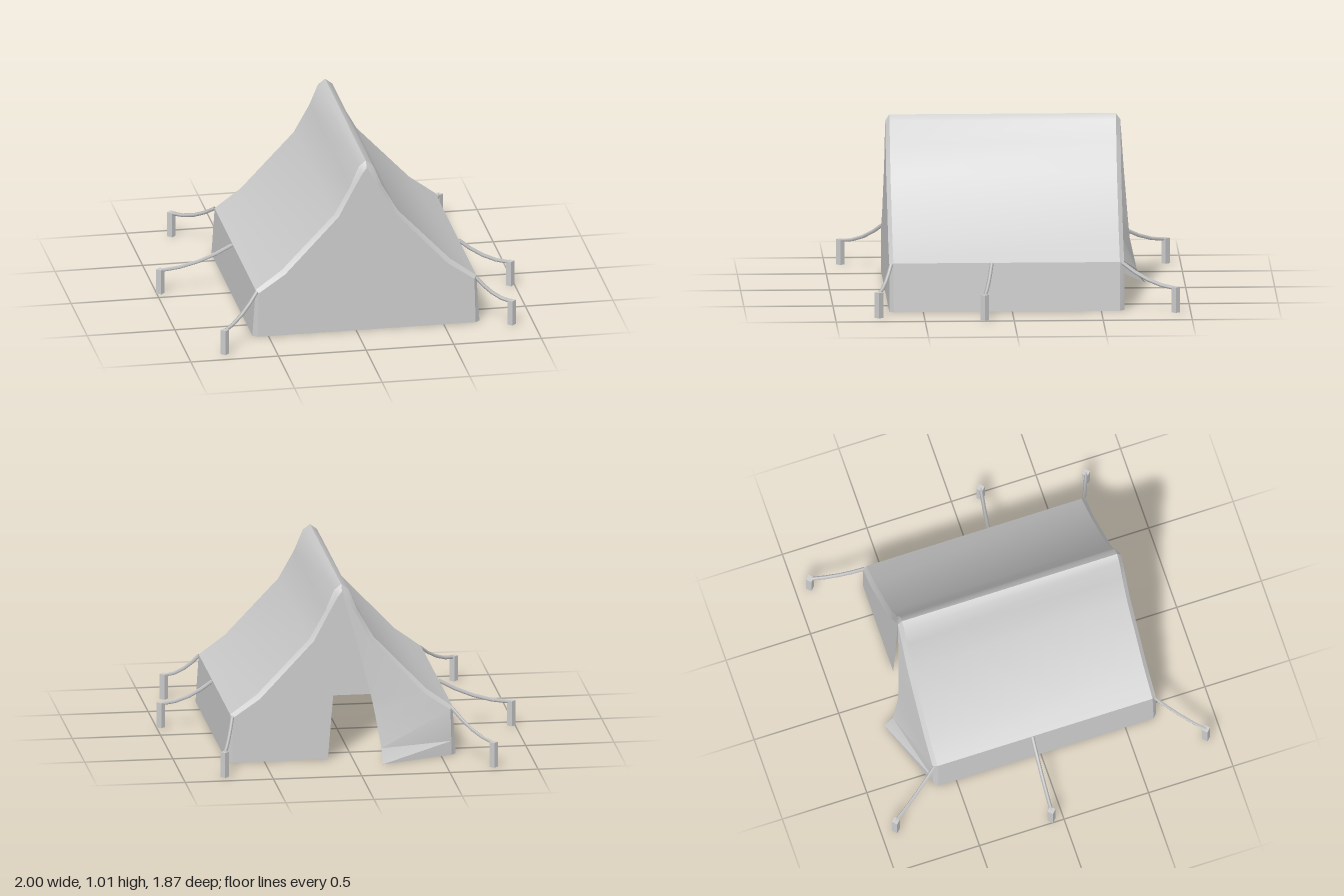
import * as THREE from 'three';
import { toCreasedNormals } from 'three/addons/utils/BufferGeometryUtils.js';

const material = new THREE.MeshStandardMaterial({ color: 0xcccccc, side: THREE.DoubleSide });
const CENTRE = 0.06;

// Half cross-sections from ridge to ground, as [distance from ridge line, height]
const outerHalf = [[0, 1.01], [0.04, 0.98], [0.09, 0.86], [0.18, 0.7], [0.48, 0.385], [0.63, 0.275], [0.648, 0]];
const innerHalf = [[0, 0.975], [0.025, 0.94], [0.075, 0.85], [0.16, 0.69], [0.465, 0.365], [0.615, 0.262], [0.622, 0]];

// Full section running from the ground at -x, over the ridge, to the ground at +x
function fullSection(half) {
  const right = half.slice(1).reverse().map(([d, y]) => [CENTRE - d, y]);
  return [...right, ...half.map(([d, y]) => [CENTRE + d, y])];
}
const atZ = (section, z) => section.map(([x, y]) => [x, y, z]);

// Sheet spanning two rows with the same number of points
function sheet(name, a, b, crease) {
  const index = [];
  const n = a.length;
  for (let i = 0; i < n - 1; i++) index.push(i, i + 1, n + i, i + 1, n + i + 1, n + i);
  const g = new THREE.BufferGeometry();
  g.setAttribute('position', new THREE.Float32BufferAttribute([...a, ...b].flat(), 3));
  g.setIndex(index);
  return named(name, toCreasedNormals(g, crease));
}

function named(name, geometry) {
  const mesh = new THREE.Mesh(geometry, material);
  mesh.name = name;
  return mesh;
}

function panel(name, points, z, facesBack) {
  const shape = new THREE.Shape(points.map(([x, y]) => new THREE.Vector2(facesBack ? -x : x, y)));
  const g = new THREE.ShapeGeometry(shape);
  if (facesBack) g.rotateY(Math.PI);
  g.translate(0, 0, z);
  return named(name, g);
}

// Sagging rope from the eave to a square peg
function guyLine(start, [px, pz]) {
  const group = new THREE.Group();
  group.name = 'guyLine';
  const a = new THREE.Vector3(...start);
  const b = new THREE.Vector3(px, 0.137, pz);
  const mid = a.clone().lerp(b, 0.5).setY(0.15);
  const rope = new THREE.TubeGeometry(new THREE.QuadraticBezierCurve3(a, mid, b), 4, 0.011, 4, false);
  const peg = new THREE.CylinderGeometry(0.024, 0.024, 0.145, 4).toNonIndexed();
  peg.computeVertexNormals();
  peg.translate(px, 0.0725, pz);
  group.add(named('rope', rope), named('peg', peg));
  return group;
}

export function createModel() {
  const tent = new THREE.Group();
  tent.name = 'tent';
  const outer = fullSection(outerHalf);
  const inner = fullSection(innerHalf);

  // Roof and side walls in one sheet, creased at the ridge and eaves
  tent.add(sheet('roofAndWalls', atZ(outer, 0.667), atZ(outer, -0.605), 0.75));

  // Bevelled hems at both ends
  tent.add(sheet('frontHem', atZ(inner, 0.69), atZ(outer, 0.667), 0.6));
  tent.add(sheet('backHem', atZ(outer, -0.605), atZ(inner, -0.63), 0.6));

  // Closed front, and the flat half of the back
  tent.add(panel('frontPanel', inner, 0.69, false));
  const leftHalf = innerHalf.map(([d, y]) => [CENTRE + d, y]);
  tent.add(panel('backPanel', [...leftHalf, [0.14, 0]], -0.63, true));

  // Loose door flap, swept outward toward the ground
  const hinge = innerHalf.map(([d, y]) => [CENTRE - d, y, -0.63]);
  hinge.splice(6, 0, [CENTRE - 0.62, 0.08, -0.63]);
  const edge = [
    [0.06, 0.975, -0.63], [0.05, 0.94, -0.633], [0.025, 0.85, -0.64], [-0.02, 0.69, -0.652],
    [-0.1, 0.365, -0.68], [-0.12, 0.265, -0.69], [-0.15, 0.08, -0.73], [-0.15, 0, -0.78],
  ];
  tent.add(sheet('doorFlap', edge, hinge, 0.4));

  // Guy lines: eave point, peg position
  const lines = [
    [[-0.565, 0.268, 0.68], [-0.79, 0.91]],
    [[0.685, 0.268, 0.68], [0.875, 0.755]],
    [[0.69, 0.272, 0.115], [0.975, 0.165]],
    [[0.68, 0.268, -0.62], [0.765, -0.915]],
    [[-0.565, 0.268, -0.62], [-0.76, -0.915]],
    [[-0.57, 0.272, -0.045], [-0.978, -0.067]],
  ];
  for (const [start, peg] of lines) tent.add(guyLine(start, peg));
  return tent;
}
